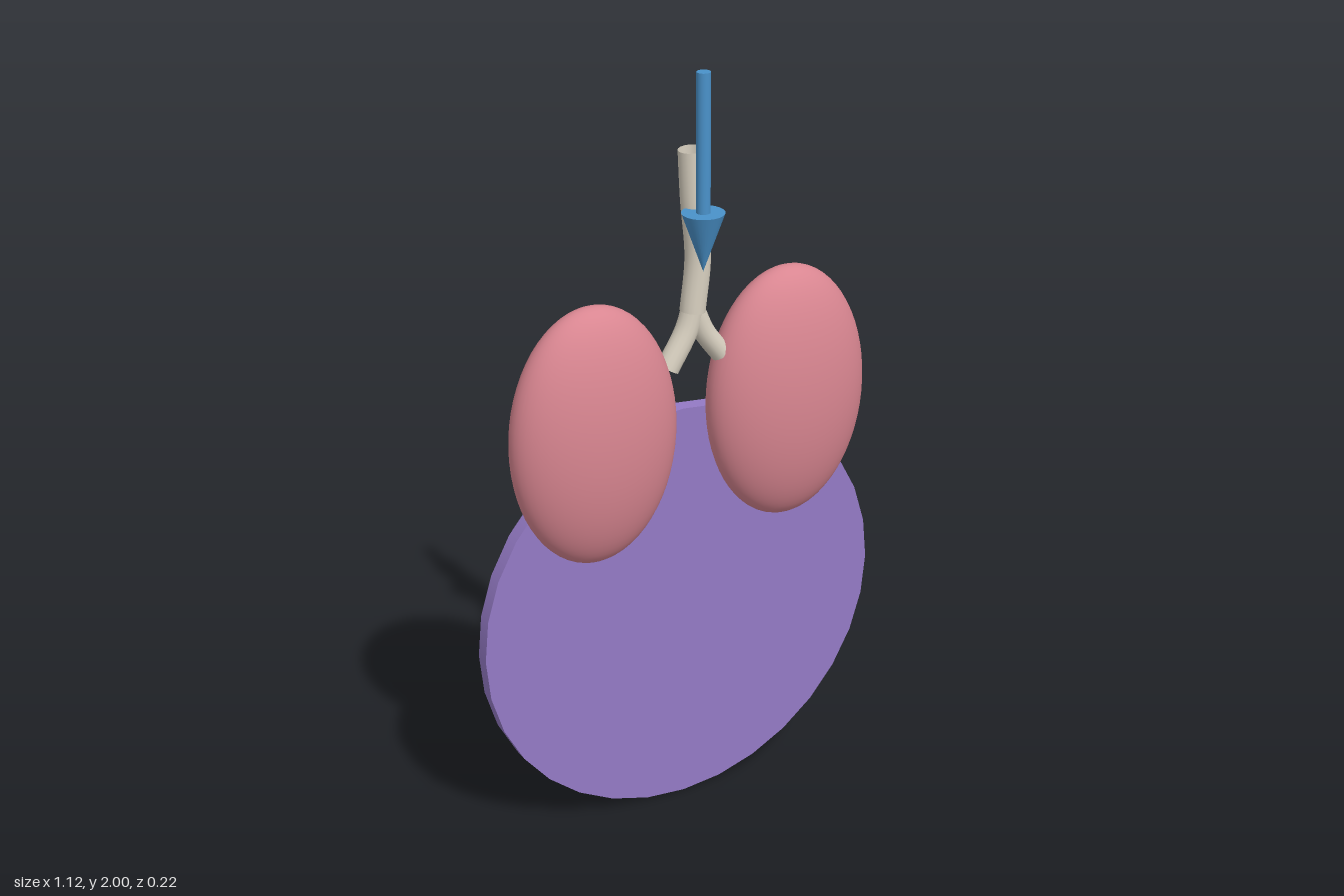
import * as THREE from 'three';

const material = (name, color, side = THREE.FrontSide) => {
  const m = new THREE.MeshStandardMaterial({ color, side });
  m.name = name;
  return m;
};

export function createModel() {
  const model = new THREE.Group();
  const pink = material('lung pink', 0xd98691);
  const purple = material('disc purple', 0x947ac5);
  const cream = material('airway cream', 0xd8d0c0, THREE.DoubleSide);
  const blue = material('arrow blue', 0x4a92ca);

  const add = (name, geometry, mat, x = 0, y = 0, z = 0) => {
    const mesh = new THREE.Mesh(geometry, mat);
    mesh.name = name;
    mesh.position.set(x, y, z);
    model.add(mesh);
    return mesh;
  };

  // Upright disc behind the lungs
  const disc = new THREE.CylinderGeometry(0.56, 0.56, 0.04, 32).rotateX(Math.PI / 2);
  add('backDisc', disc, purple, 0, 0.56, -0.06);

  // Pair of flattened ellipsoid lungs
  for (const [name, side] of [['leftLung', 1], ['rightLung', -1]]) {
    const lung = new THREE.SphereGeometry(1, 48, 32).scale(0.22, 0.336, 0.112);
    add(name, lung, pink, side * 0.27, 1.125, 0);
  }

  // Open curved airway tubes
  const tube = (name, points, radius) => {
    const curve = new THREE.CatmullRomCurve3(points.map(([x, y]) => new THREE.Vector3(x, y, 0)));
    add(name, new THREE.TubeGeometry(curve, 32, radius, 16), cream);
  };
  tube('windpipe', [[0, 1.8], [0.006, 1.68], [0.018, 1.53], [0.004, 1.395]], 0.032);
  tube('rightBronchus', [[0.012, 1.43], [-0.012, 1.35], [-0.066, 1.258]], 0.029);
  tube('leftBronchus', [[0.008, 1.395], [0.035, 1.335], [0.082, 1.27]], 0.027);

  // Downward arrow in front of the airway
  add('arrowShaft', new THREE.CylinderGeometry(0.017, 0.017, 0.34, 24), blue, 0, 1.83, 0.057);
  const head = new THREE.ConeGeometry(0.052, 0.147, 32).rotateX(Math.PI);
  add('arrowHead', head, blue, 0, 1.5885, 0.057);

  return model;
}
